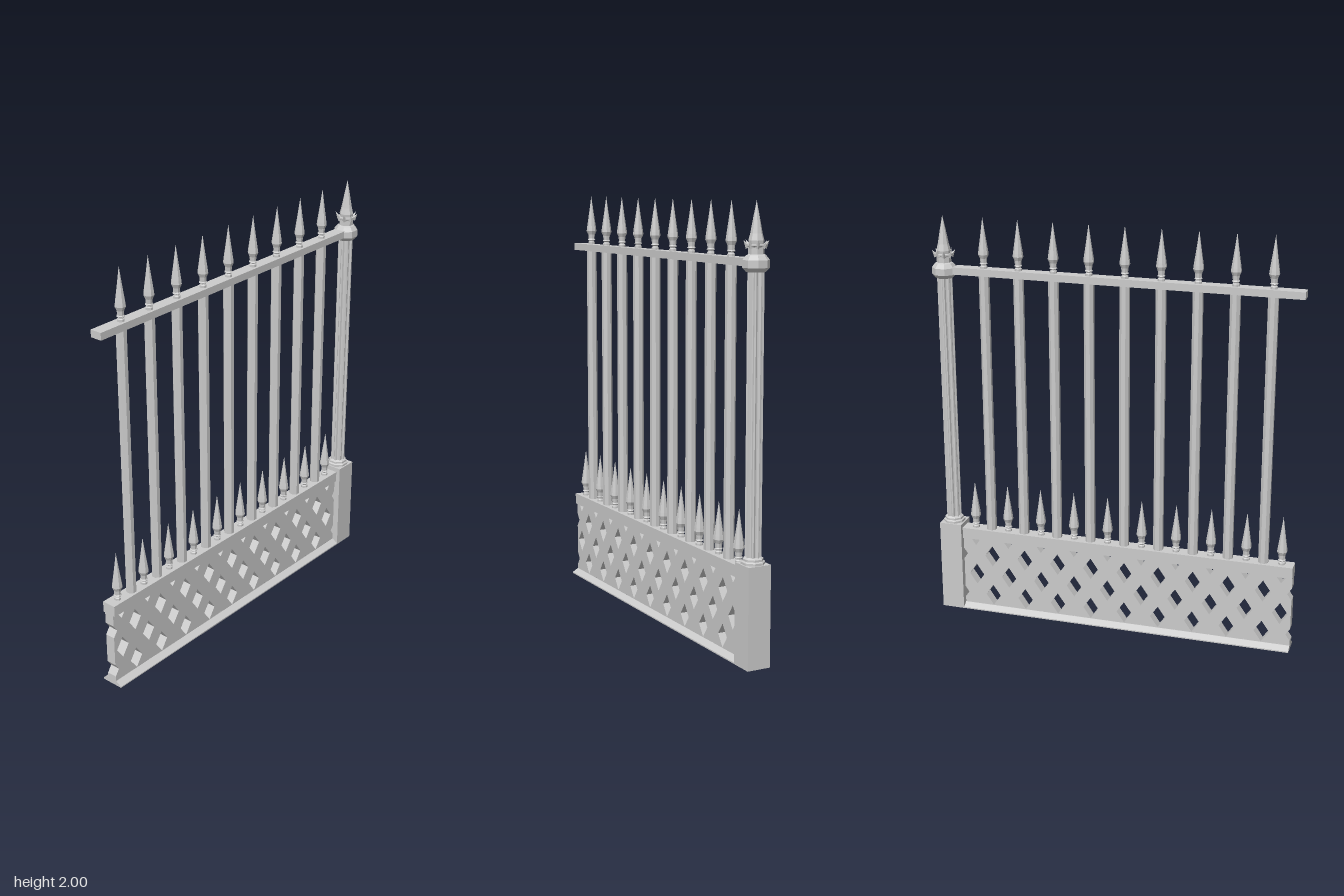
import * as THREE from 'three';

const MAT = new THREE.MeshStandardMaterial({ color: 0xcccccc, flatShading: true, side: THREE.DoubleSide });
const LEFT = -0.885, RIGHT = 0.775, PITCH = 0.171, POST_X = 0.828;

function add(parent, name, geometry, x = 0, y = 0, z = 0) {
  const mesh = new THREE.Mesh(geometry, MAT);
  mesh.name = name;
  mesh.position.set(x, y, z);
  parent.add(mesh);
  return mesh;
}

// Faceted turned part from [radius, height] pairs
function turned(profile, sides = 8) {
  const g = new THREE.LatheGeometry(profile.map(([r, y]) => new THREE.Vector2(r, y)), sides);
  return g.rotateY(Math.PI / sides);
}

function rail(parent, name, y0, y1, depth) {
  add(parent, name, new THREE.BoxGeometry(RIGHT - LEFT, y1 - y0, depth), (LEFT + RIGHT) / 2, (y0 + y1) / 2);
}

function polygon(points, Type = THREE.Path) {
  return new Type(points.map(([x, y]) => new THREE.Vector2(x, y)));
}

// Pierced panel: staggered rows of diamonds, cut through at both ends
function latticeGeometry() {
  const w = 0.038, h = 0.055, bottom = 0.015, top = 0.39;
  const mid = 0.187, rows = [0.081, 0.293], notch = 0.022;
  const outline = [[LEFT, bottom]];
  outline.push([RIGHT, bottom]);
  for (const y of rows) outline.push([RIGHT, y - 0.032], [RIGHT - notch, y], [RIGHT, y + 0.032]);
  outline.push([RIGHT, top], [LEFT, top]);
  for (const y of [...rows].reverse()) outline.push([LEFT, y + 0.032], [LEFT + notch, y], [LEFT, y - 0.032]);
  const shape = polygon(outline, THREE.Shape);
  const diamond = (x, y) => shape.holes.push(polygon([[x - w, y], [x, y - h], [x + w, y], [x, y + h]]));
  for (let i = 0; i < 10; i++) {
    const x = -0.832 + i * PITCH;
    diamond(x, mid);
    shape.holes.push(polygon([[x, 0.345], [x + 0.028, 0.385], [x - 0.028, 0.385]]));
    shape.holes.push(polygon([[x - 0.008, 0.017], [x + 0.008, 0.017], [x, 0.028]]));
    if (i < 9) for (const y of rows) diamond(x + PITCH / 2, y);
  }
  return new THREE.ExtrudeGeometry(shape, { depth: 0.05, bevelEnabled: false }).translate(0, 0, -0.025);
}

// Long sloping foot under the panel
function footGeometry() {
  const s = polygon([[-0.056, 0], [0.056, 0], [0.056, 0.006], [0.027, 0.024], [-0.027, 0.024], [-0.056, 0.006]], THREE.Shape);
  return new THREE.ExtrudeGeometry(s, { depth: RIGHT - LEFT, bevelEnabled: false })
    .rotateY(Math.PI / 2).translate(LEFT, 0, 0);
}

// Fluted shaft with eight ribs
function flutedGeometry(height) {
  const pts = [];
  for (let i = 0; i < 32; i++) {
    const a = (i + 0.5) * Math.PI / 16;
    const r = i % 4 < 2 ? 0.036 : 0.029;
    pts.push([r * Math.cos(a), r * Math.sin(a)]);
  }
  return new THREE.ExtrudeGeometry(polygon(pts, THREE.Shape), { depth: height, bevelEnabled: false }).rotateX(-Math.PI / 2);
}

function createPost() {
  const post = new THREE.Group();
  post.name = 'post';
  post.position.x = POST_X;
  add(post, 'postBase', new THREE.BoxGeometry(0.112, 0.457, 0.112), 0, 0.2285);
  add(post, 'columnFoot', turned([[0, 0.455], [0.053, 0.455], [0.053, 0.467], [0.046, 0.472], [0.046, 0.481], [0.036, 0.488], [0, 0.488]]));
  add(post, 'column', flutedGeometry(1.23), 0, 0.48);
  add(post, 'capital', turned([[0, 1.7], [0.042, 1.7], [0.058, 1.718], [0.058, 1.75], [0.042, 1.77], [0.034, 1.774],
    [0.034, 1.802], [0.045, 1.808], [0.045, 1.815], [0, 1.818]]));
  add(post, 'finial', turned([[0.031, 1.81], [0.034, 1.83], [0.026, 1.86], [0.014, 1.925], [0, 1.995]]));
  // Ring of leaf points leaning outwards round the finial
  for (let i = 0; i < 8; i++) {
    const leaf = new THREE.ConeGeometry(0.012, 0.036, 4).translate(0, 0.018, 0).rotateZ(-0.6)
      .translate(0.034, 1.802, 0).rotateY((i + 0.5) * Math.PI / 4);
    add(post, 'crownLeaf', leaf);
  }
  return post;
}

export function createModel() {
  const fence = new THREE.Group();
  fence.name = 'fencePanel';

  // Base panel and rails
  add(fence, 'foot', footGeometry());
  add(fence, 'lattice', latticeGeometry());
  rail(fence, 'lowerRail', 0.38, 0.434, 0.07);
  rail(fence, 'upperRail', 1.722, 1.756, 0.058);

  // Upright bars, with spear heads above the top rail and between the bars below
  const bar = new THREE.CylinderGeometry(0.025, 0.025, 1.3, 8).rotateY(Math.PI / 8);
  const spear = turned([[0, 0], [0.017, 0], [0.017, 0.012], [0.013, 0.016], [0.013, 0.02], [0.019, 0.024], [0.015, 0.03],
    [0.017, 0.05], [0.025, 0.068], [0.023, 0.085], [0.011, 0.165], [0, 0.243]]);
  for (let i = 0; i < 10; i++) {
    const x = -0.827 + i * PITCH;
    add(fence, 'lowerSpear', spear, x, 0.432);
    if (i === 9) continue;
    add(fence, 'bar', bar, -0.739 + i * PITCH, 1.08);
    add(fence, 'upperSpear', spear, -0.739 + i * PITCH, 1.754);
  }

  fence.add(createPost());
  return fence;
}
